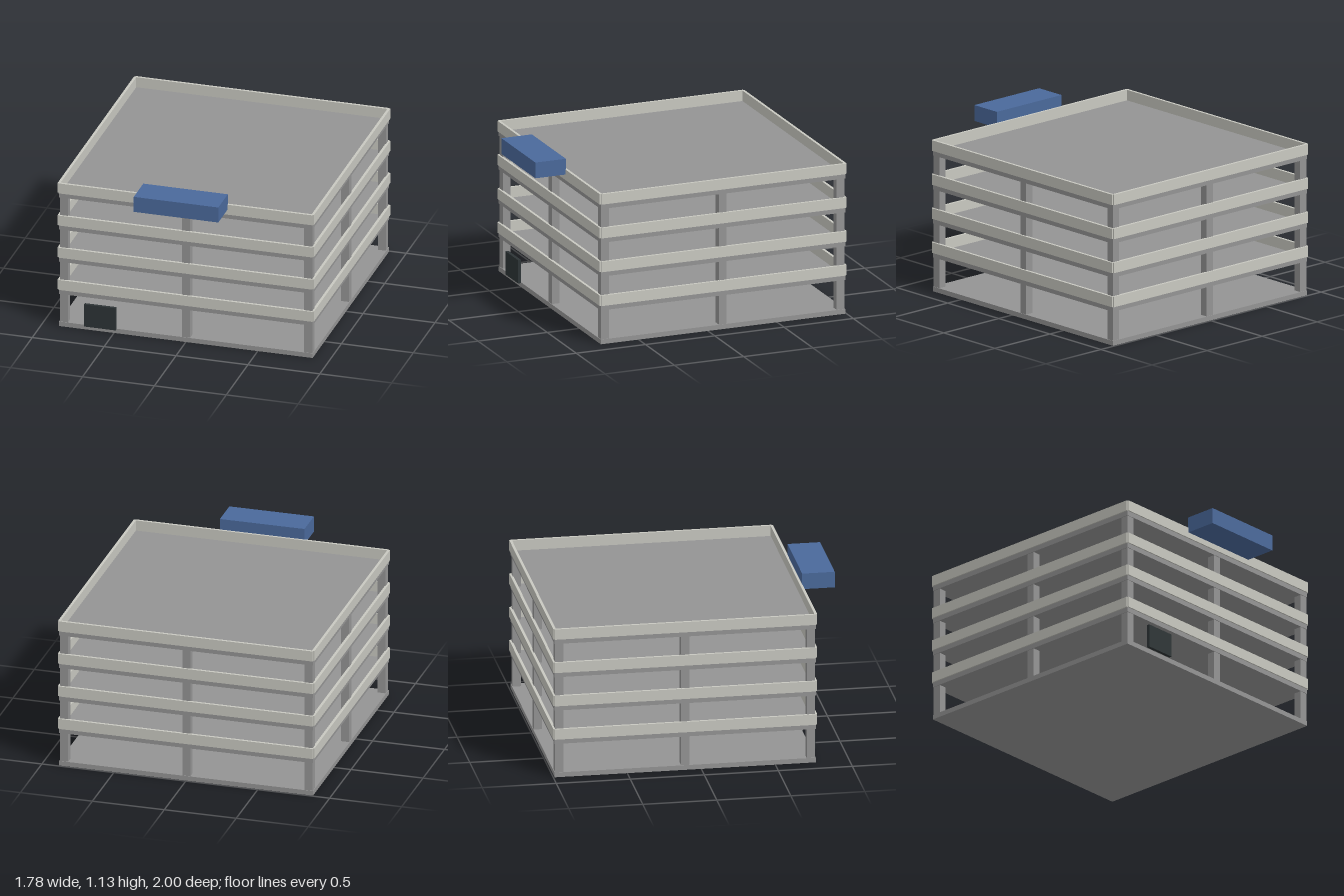
import * as THREE from 'three';

const mat = (name, color) => {
  const m = new THREE.MeshStandardMaterial({ color });
  m.name = name;
  return m;
};

export function createModel() {
  const concrete = mat('concrete grey', 0x949494);
  const pale = mat('pale parapet', 0xc8c8c0);
  const blue = mat('sign blue', 0x4a699b);
  const dark = mat('door dark', 0x2d3436);

  const model = new THREE.Group();
  model.name = 'parkingGarage';

  // Box placed by its centre in x and z and by its underside in y
  const box = (parent, name, material, [w, h, d], [x, y, z]) => {
    const mesh = new THREE.Mesh(new THREE.BoxGeometry(w, h, d), material);
    mesh.name = name;
    mesh.position.set(x, y + h / 2, z);
    parent.add(mesh);
  };

  const levels = 4, pitch = 0.236, slab = 0.033;
  const half = 0.882, wall = 0.018, wallH = 0.073;

  const building = new THREE.Group();
  building.name = 'building';
  building.position.z = -0.109;
  model.add(building);

  for (let i = 0; i <= levels; i++) {
    const y = i * pitch;
    box(building, 'floorSlab', concrete, [half * 2, slab, half * 2], [0, y, 0]);

    // Parapets straddle the slab edges of every upper deck
    if (i > 0) {
      for (const s of [-1, 1]) {
        box(building, s > 0 ? 'frontParapet' : 'backParapet', pale,
          [half * 2, wallH, wall], [0, y + slab, s * half]);
        box(building, s > 0 ? 'leftParapet' : 'rightParapet', pale,
          [wall, wallH, half * 2], [s * half, y + slab, 0]);
      }
    }

    // Three by three columns up to the next slab
    if (i < levels) {
      for (const x of [-0.85, 0, 0.85]) {
        for (const z of [-0.85, 0, 0.85]) {
          box(building, 'column', concrete, [0.056, pitch - slab, 0.056], [x, y + slab, z]);
        }
      }
    }
  }

  // Sign box projecting from the roof edge, and the entrance door panel
  box(model, 'roofSign', blue, [0.588, 0.11, 0.22], [0, 1.016, 0.89]);
  box(model, 'entranceDoor', dark, [0.22, 0.162, 0.022], [-0.59, slab, 0.79]);

  return model;
}
